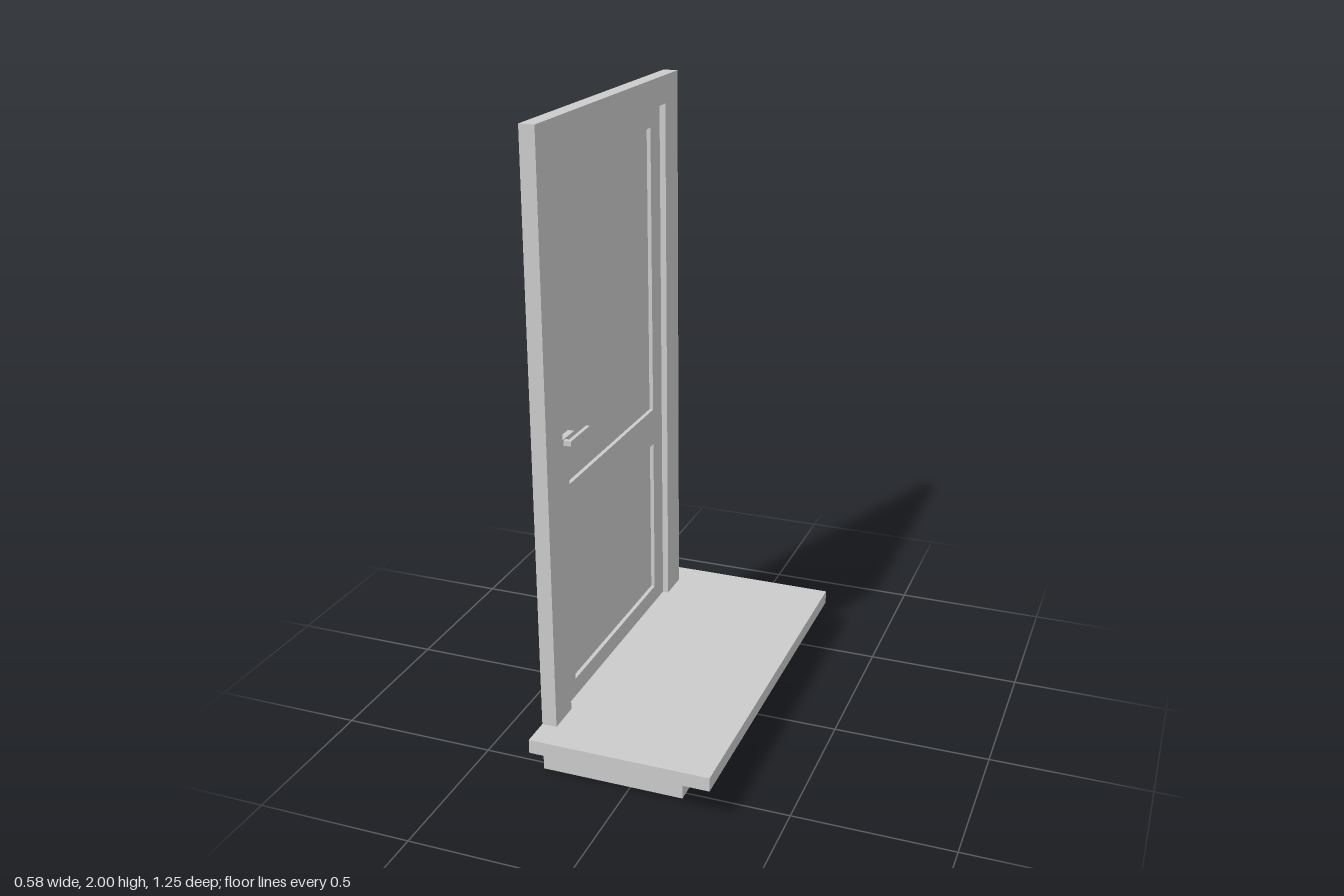
import * as THREE from 'three';

const material = new THREE.MeshStandardMaterial({ color: 0xcccccc, flatShading: true });

// Depth levels of the door, from the back face outwards (+x)
const BACK = -0.29, PANEL = -0.275, LEAF = -0.262, FACE = -0.242;
const STEP_BASE = 0.115, STEP_TOP = 0.16;

// Box given by its lower and upper bounds on each axis
function box(name, [x0, x1], [y0, y1], [z0, z1]) {
  const mesh = new THREE.Mesh(new THREE.BoxGeometry(x1 - x0, y1 - y0, z1 - z0), material);
  mesh.position.set((x0 + x1) / 2, (y0 + y1) / 2, (z0 + z1) / 2);
  mesh.name = name;
  return mesh;
}

// Symmetric rectangle as a list of corners
function rectangle(halfWidth, y0, y1) {
  return [[-halfWidth, y0], [halfWidth, y0], [halfWidth, y1], [-halfWidth, y1]]
    .map(([x, y]) => new THREE.Vector2(x, y));
}

// Flat outline extruded along +x between two depth levels
function slab(name, outline, holes, x0, x1) {
  const shape = new THREE.Shape(outline);
  shape.holes = holes.map((points) => new THREE.Path(points));
  const geometry = new THREE.ExtrudeGeometry(shape, { depth: x1 - x0, bevelEnabled: false });
  geometry.rotateY(Math.PI / 2);
  const mesh = new THREE.Mesh(geometry, material);
  mesh.position.x = x0;
  mesh.name = name;
  return mesh;
}

export function createModel() {
  const model = new THREE.Group();
  model.name = 'doorWithStep';

  // Step: narrower base below an overhanging tread
  model.add(box('stepBase', [BACK, 0.17], [0, STEP_BASE], [-0.53, 0.53]));
  model.add(box('stepTread', [BACK, 0.29], [STEP_BASE, STEP_TOP], [-0.625, 0.625]));

  // Frame: an arch of two jambs and a head, open at the bottom
  const frame = [
    [-0.53, STEP_TOP], [-0.42, STEP_TOP], [-0.42, 1.91], [0.42, 1.91],
    [0.42, STEP_TOP], [0.53, STEP_TOP], [0.53, 2], [-0.53, 2],
  ].map(([x, y]) => new THREE.Vector2(x, y));
  model.add(slab('doorFrame', frame, [], BACK, FACE));

  // Door leaf: rails and stiles around two sunken panels
  const door = new THREE.Group();
  door.name = 'door';
  door.add(box('doorPanels', [BACK, PANEL], [STEP_TOP, 1.91], [-0.42, 0.42]));
  const panels = [rectangle(0.34, 0.22, 0.765), rectangle(0.34, 0.89, 1.845)];
  door.add(slab('railsAndStiles', rectangle(0.42, STEP_TOP, 1.91), panels, PANEL, LEAF));

  // Lock plate level with the frame, and an L-shaped lever handle
  door.add(box('lockPlate', [LEAF, FACE], [0.94, 1.065], [0.34, 0.42]));
  const handle = new THREE.Group();
  handle.name = 'handle';
  handle.add(box('handleStem', [FACE, -0.23], [1.046, 1.062], [0.402, 0.416]));
  handle.add(box('handleLever', [-0.23, -0.218], [1.046, 1.062], [0.28, 0.416]));
  door.add(handle);
  model.add(door);

  return model;
}
